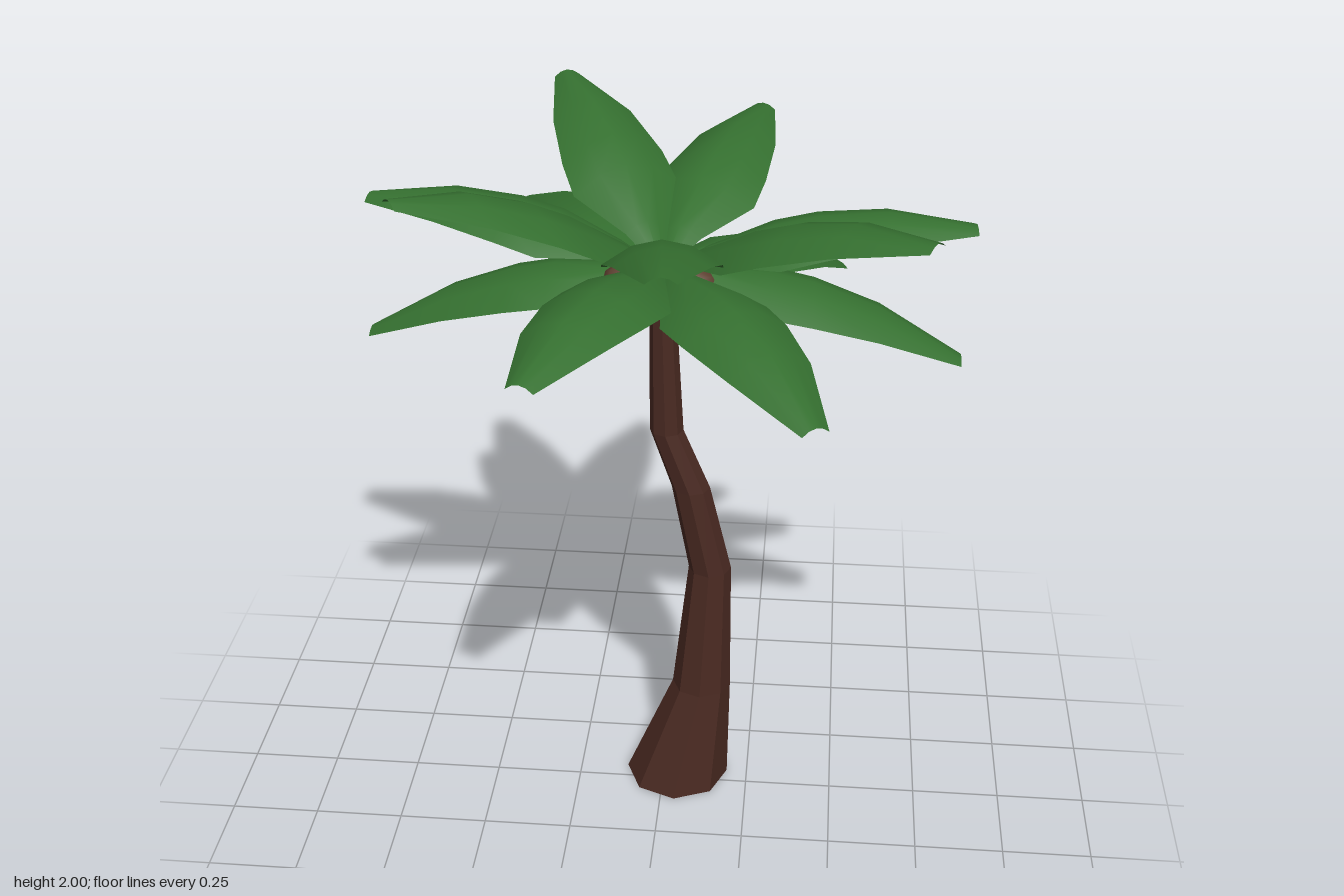
import * as THREE from 'three';

const bark = new THREE.MeshStandardMaterial({ color: 0x4a2a22, flatShading: true });
const green = new THREE.MeshStandardMaterial({ color: 0x357030, side: THREE.DoubleSide });
const husk = new THREE.MeshStandardMaterial({ color: 0x5d4030 });

const CROWN_Y = 1.66;

// Bent trunk: an eight-sided cylinder whose rings follow [x, y, z, radius]
function makeTrunk() {
  const rings = [
    [0.04, 0, -0.05, 0.15],
    [0.11, 0.33, -0.047, 0.084],
    [0.13, 0.73, -0.047, 0.06],
    [0.075, 1.0, -0.03, 0.053],
    [0.008, 1.18, -0.024, 0.046],
    [-0.004, CROWN_Y, -0.014, 0.032],
  ];
  const n = rings.length - 1;
  const geo = new THREE.CylinderGeometry(1, 1, 1, 8, n);
  const p = geo.attributes.position;
  for (let i = 0; i < p.count; i++) {
    const [x, y, z, r] = rings[Math.round((p.getY(i) + 0.5) * n)];
    p.setXYZ(i, x + p.getX(i) * r, y, z + p.getZ(i) * r);
  }
  geo.computeVertexNormals();
  return new THREE.Mesh(geo, bark);
}

// Arched leaf along +x: widths vary along the spine and the edges droop
function makeLeaf(tipX, tipY, tipZ) {
  const stations = [[0, 0.008], [0.15, 0.06], [0.36, 0.148], [0.5, 0.143], [0.72, 0.112], [1, 0.036]];
  const n = stations.length - 1;
  const length = Math.hypot(tipX, tipZ);
  const geo = new THREE.PlaneGeometry(2, 1, 4, n);
  const p = geo.attributes.position;
  for (let i = 0; i < p.count; i++) {
    const u = p.getX(i);
    const [t, w] = stations[Math.round((p.getY(i) + 0.5) * n)];
    const spine = (tipY - CROWN_Y) * t + 0.34 * t * (1 - t);
    p.setXYZ(i, length * t, spine - 0.45 * w * u * u, u * w);
  }
  geo.computeVertexNormals();
  const leaf = new THREE.Mesh(geo, green);
  leaf.position.y = CROWN_Y;
  leaf.rotation.y = -Math.atan2(tipZ, tipX);
  return leaf;
}

export function createModel() {
  const model = new THREE.Group();
  model.name = 'palmTree';

  const trunk = makeTrunk();
  trunk.name = 'trunk';
  model.add(trunk);

  // Leaf tips, raised ones first, then the drooping ones
  const crown = new THREE.Group();
  crown.name = 'crown';
  const tips = [
    [0.80, 1.775, -0.09], [0.67, 1.93, 0.42], [0.065, 1.98, 0.78],
    [-0.6, 2.0, 0.44], [-0.8, 1.775, -0.18], [-0.33, 1.97, -0.66], [0.22, 1.85, -0.78],
    [0.78, 1.445, -0.005], [0.41, 1.58, 0.685], [-0.255, 1.7, 0.765],
    [-0.79, 1.445, -0.05], [-0.455, 1.58, -0.69], [0.455, 1.445, -0.605],
  ];
  tips.forEach((tip, i) => {
    const leaf = makeLeaf(...tip);
    leaf.name = `leaf${i + 1}`;
    crown.add(leaf);
  });
  model.add(crown);

  // Coconuts hanging under the crown
  const nutGeo = new THREE.SphereGeometry(0.066, 8, 6);
  [[0.085, 1.62, 0.03], [-0.092, 1.628, 0.045], [-0.01, 1.635, -0.11]].forEach((pos, i) => {
    const nut = new THREE.Mesh(nutGeo, husk);
    nut.name = `coconut${i + 1}`;
    nut.position.set(...pos);
    nut.rotation.set(0.4, i, 0.3);
    model.add(nut);
  });

  return model;
}
